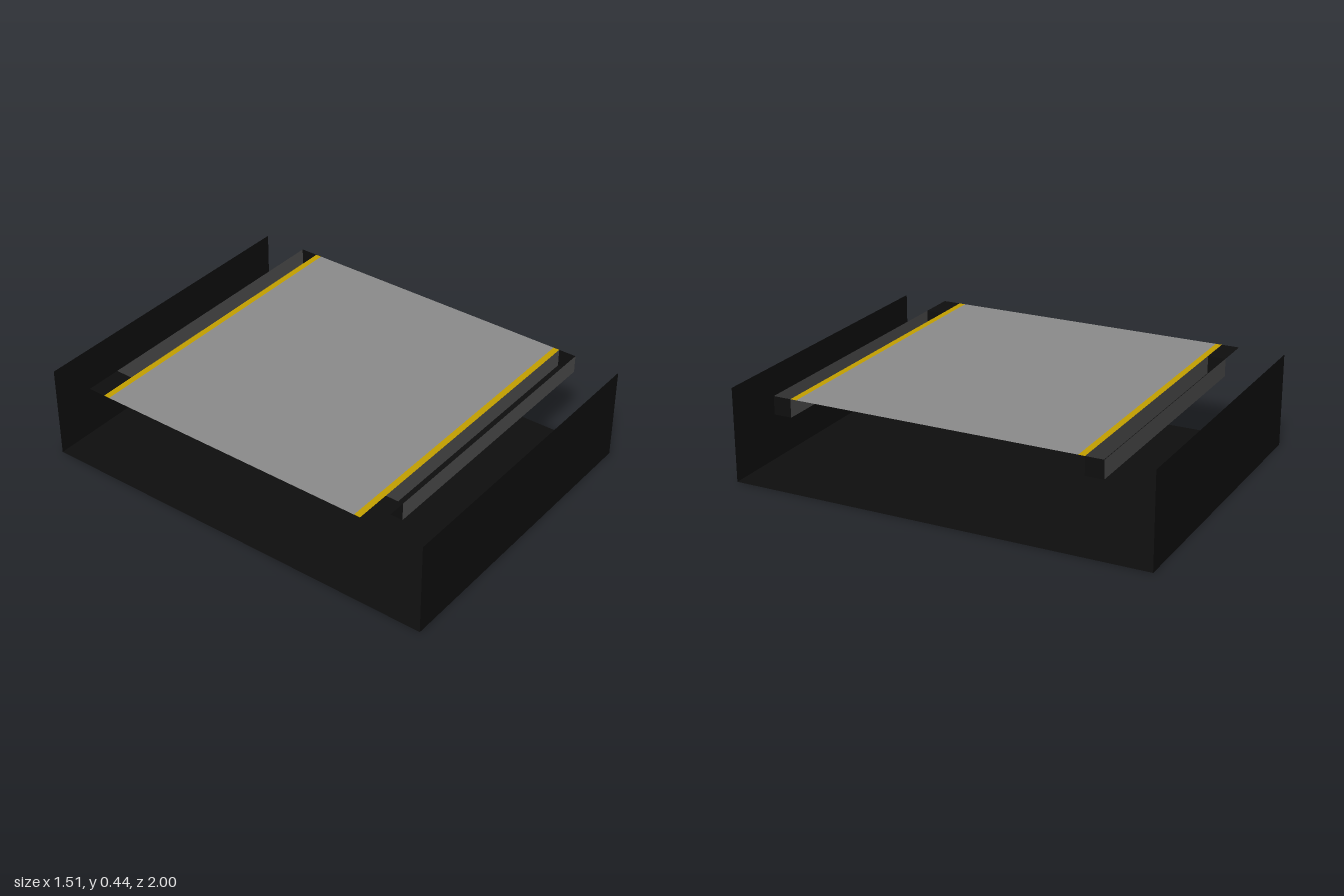
import * as THREE from 'three';

const mat = (name, color) => {
  const m = new THREE.MeshStandardMaterial({ color, side: THREE.DoubleSide });
  m.name = name;
  return m;
};

export function createModel() {
  const black = mat('black', 0x0e0e0e);
  const deckGrey = mat('deckGrey', 0x8c8c8c);
  const beamGrey = mat('beamGrey', 0x4e4e4e);
  const yellow = mat('yellow', 0xc4a000);

  const model = new THREE.Group();
  model.name = 'platformSegment';

  const X = 0.755, TOP = 0.445, LOW = 0.36, IN = 0.695, OUT = 0.78, GAP = -0.58;

  // Thin sheets, one helper for each facing
  const add = (name, material, w, h, pos, rx, ry) => {
    const mesh = new THREE.Mesh(new THREE.PlaneGeometry(w, h), material);
    mesh.name = name;
    mesh.rotation.set(rx, ry, 0);
    mesh.position.set(...pos);
    model.add(mesh);
  };
  const flat = (name, m, x0, x1, z0, z1, y) =>
    add(name, m, x1 - x0, Math.abs(z1 - z0), [(x0 + x1) / 2, y, (z0 + z1) / 2], -Math.PI / 2, 0);
  const wall = (name, m, x0, x1, y0, y1, z) =>
    add(name, m, x1 - x0, y1 - y0, [(x0 + x1) / 2, (y0 + y1) / 2, z], 0, z < 0 ? Math.PI : 0);
  const cap = (name, m, z0, z1, y0, y1, x) =>
    add(name, m, Math.abs(z1 - z0), y1 - y0, [x, (y0 + y1) / 2, (z0 + z1) / 2], 0, x < 0 ? -Math.PI / 2 : Math.PI / 2);

  // Base floor and raised deck
  flat('floor', black, -X, X, -1, 1, 0);
  flat('deck', deckGrey, -X, X, -0.665, 0.665, TOP);

  for (const s of [1, -1]) {
    // Outer wall and painted deck edge
    wall('outerWall', black, -X, X, 0, TOP, s);
    flat('edgeStripe', yellow, -X, X, s * 0.665, s * IN, TOP);

    // Open-topped edge channel
    wall('channelInnerSide', beamGrey, GAP, X, LOW, TOP, s * IN);
    wall('channelOuterSide', beamGrey, GAP, X, LOW, TOP, s * OUT);
    flat('channelBottom', black, GAP, X, s * IN, s * OUT, LOW);
    for (const x of [GAP, X]) cap('channelEnd', black, s * IN, s * OUT, LOW, TOP, x);

    // Cover plate past the short end of the channel
    flat('coverPlate', black, -X, GAP, s * IN, s * OUT, TOP);
  }
  return model;
}
